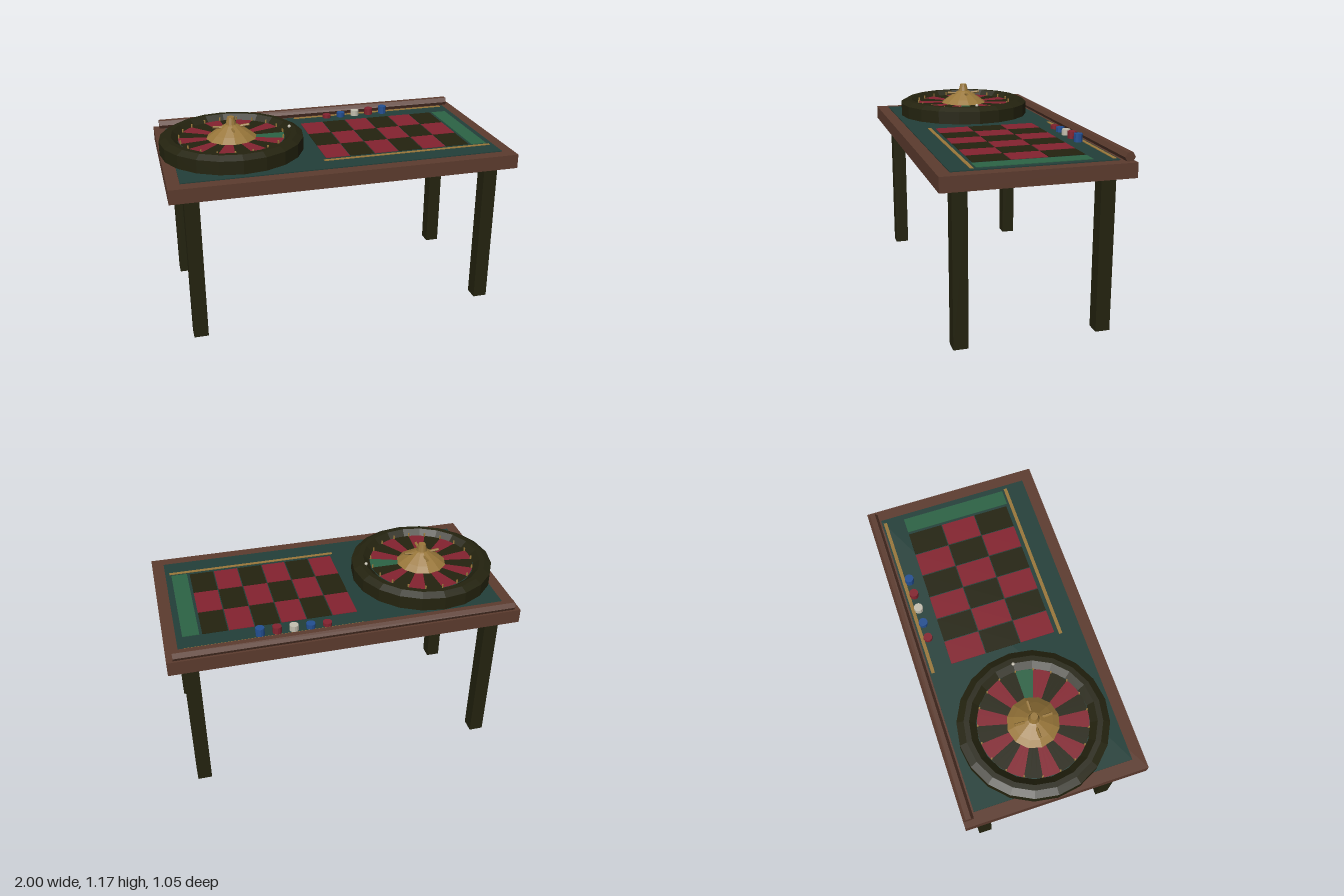
import * as THREE from 'three';

const mat = (name, color, side = THREE.FrontSide) => {
  const m = new THREE.MeshStandardMaterial({ color, side });
  m.name = name;
  return m;
};

// Faceted normals for low-poly parts
const facet = (geo) => {
  const g = geo.index ? geo.toNonIndexed() : geo;
  g.computeVertexNormals();
  return g;
};

export function createModel() {
  const root = new THREE.Group();
  root.name = 'rouletteTable';
  const M = {
    wood: mat('wood brown', 0x5c3b2e),
    dark: mat('dark wood', 0x24230f),
    felt: mat('felt teal', 0x233f39),
    red: mat('red', 0x84232f),
    green: mat('green', 0x2c6345),
    gold: mat('gold', 0x99773a),
    blue: mat('blue', 0x234f92),
    white: mat('ivory', 0xc4bfb0),
  };
  const add = (name, geo, material, x = 0, y = 0, z = 0, parent = root) => {
    const mesh = new THREE.Mesh(geo, material);
    mesh.name = name;
    mesh.position.set(x, y, z);
    parent.add(mesh);
    return mesh;
  };
  // Box given by its extents on each axis
  const box = (name, material, x0, x1, y0, y1, z0, z1, parent = root) =>
    add(name, new THREE.BoxGeometry(x1 - x0, y1 - y0, z1 - z0), material,
      (x0 + x1) / 2, (y0 + y1) / 2, (z0 + z1) / 2, parent);

  // Table top, felt and legs
  box('tableTop', M.wood, -1, 1, 0.887, 0.97, -0.525, 0.525);
  box('felt', M.felt, -0.93, 0.93, 0.968, 0.975, -0.455, 0.455);
  for (const sx of [-1, 1]) for (const sz of [-1, 1]) {
    add('leg', new THREE.BoxGeometry(0.083, 0.887, 0.083), M.dark, sx * 0.875, 0.4435, sz * 0.402);
  }

  // Hexagonal rail along the back edge
  add('backRail', facet(new THREE.CylinderGeometry(0.03, 0.03, 1.93, 6).rotateZ(Math.PI / 2)),
    M.wood, 0, 0.992, -0.495);

  // Betting layout
  const layout = new THREE.Group();
  layout.name = 'bettingLayout';
  root.add(layout);
  for (let c = 0; c < 6; c++) for (let r = 0; r < 3; r++) {
    const x = -0.09 + c * 0.147, z = -0.32 + r * 0.209;
    box('betSquare', (c + r) % 2 ? M.dark : M.red, x, x + 0.141, 0.974, 0.978, z, z + 0.204, layout);
  }
  box('zeroStrip', M.green, 0.802, 0.895, 0.974, 0.978, -0.32, 0.312, layout);
  for (const z of [-0.435, 0.335]) {
    box('borderLine', M.gold, -0.11, 0.905, 0.974, 0.978, z - 0.01, z + 0.01, layout);
  }

  // Chip stacks, growing taller to the right
  [M.red, M.blue, M.white, M.red, M.blue].forEach((m, i) => {
    const h = 0.022 + i * 0.0065;
    add('chipStack', facet(new THREE.CylinderGeometry(0.026, 0.026, h, 10)), m,
      0.103 + i * 0.0945, 0.976 + h / 2, -0.402);
  });

  // Wheel bowl
  const wheel = new THREE.Group();
  wheel.name = 'wheel';
  wheel.position.set(-0.58, 0, 0);
  root.add(wheel);
  const lathe = (pts, sides) =>
    facet(new THREE.LatheGeometry(pts.map(([r, y]) => new THREE.Vector2(r, y)), sides));
  add('wheelBowl', lathe([[0.42, 0.974], [0.42, 1.053], [0.38, 1.075], [0.35, 1.075],
    [0.312, 1.043]], 20), M.dark, 0, 0, 0, wheel);
  add('wheelFloor', new THREE.CircleGeometry(0.318, 20).rotateX(-Math.PI / 2), M.felt,
    0, 1.043, 0, wheel);

  // Coloured pockets with a peg at each divider
  const N = 19, step = (Math.PI * 2) / N;
  for (let i = 0; i < N; i++) {
    const m = i === 0 ? M.green : i % 2 ? M.red : M.dark;
    add('pocket', new THREE.RingGeometry(0.12, 0.308, 1, 1, -(i + 1) * step, step)
      .rotateX(-Math.PI / 2), m, 0, 1.047, 0, wheel);
    add('peg', facet(new THREE.CylinderGeometry(0.005, 0.005, 0.022, 6)), M.gold,
      Math.cos(i * step) * 0.304, 1.056, Math.sin(i * step) * 0.304, wheel);
  }

  // Gold hub, post and four handles
  add('hub', lathe([[0.147, 1.047], [0.11, 1.075], [0.04, 1.121], [0.032, 1.125],
    [0.021, 1.168], [0.0001, 1.168]], 12), M.gold, 0, 0, 0, wheel);
  for (let i = 0; i < 4; i++) {
    const arm = new THREE.Group();
    arm.name = 'handle';
    arm.rotation.y = (i * Math.PI) / 2;
    wheel.add(arm);
    const bar = add('handleBar', facet(new THREE.CylinderGeometry(0.008, 0.008, 0.09, 6)
      .rotateZ(Math.PI / 2)), M.gold, 0.062, 1.109, 0, arm);
    bar.rotation.z = 0.1;
  }

  // Ball resting on the rim
  add('ball', new THREE.SphereGeometry(0.01, 10, 8), M.white, 0.345, 1.079, 0, wheel);
  return root;
}
